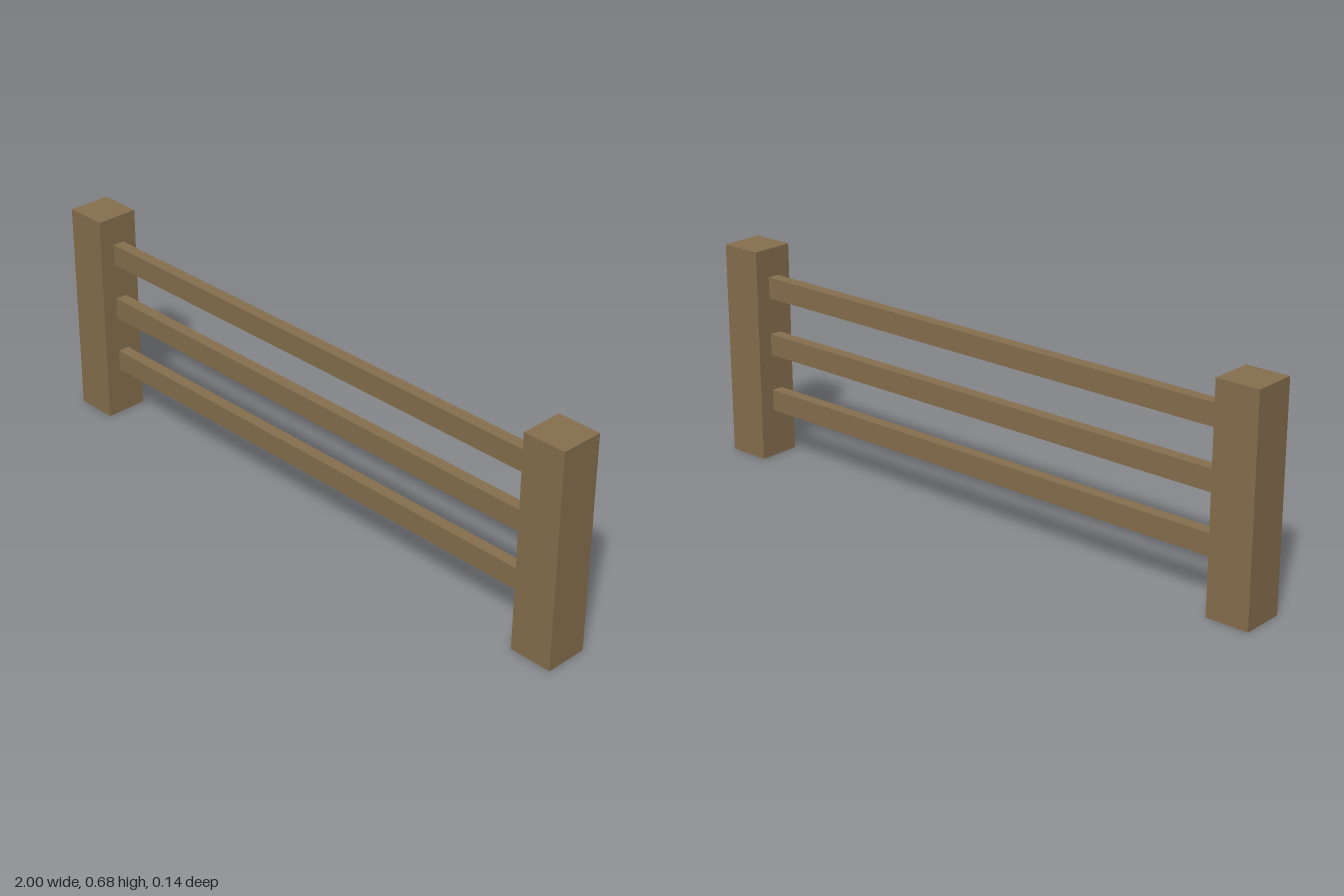
import * as THREE from 'three';

export function createModel() {
  const fence = new THREE.Group();
  fence.name = 'fence';
  const wood = new THREE.MeshStandardMaterial({ color: 0x866f4e });
  wood.name = 'brown wood';

  const POST = 0.137, HEIGHT = 0.684;
  const addBox = (name, size, x, y) => {
    const mesh = new THREE.Mesh(new THREE.BoxGeometry(...size), wood);
    mesh.name = name;
    mesh.position.set(x, y, 0);
    fence.add(mesh);
  };

  // Square end posts
  for (const [name, side] of [['leftPost', 1], ['rightPost', -1]]) {
    addBox(name, [POST, HEIGHT, POST], side * (1 - POST / 2), HEIGHT / 2);
  }

  // Three evenly spaced rails between the posts
  const railLength = 2 - 2 * POST;
  ['lowerRail', 'middleRail', 'upperRail'].forEach((name, i) => {
    addBox(name, [railLength, 0.068, 0.038], 0, 0.187 + i * 0.186);
  });

  return fence;
}
